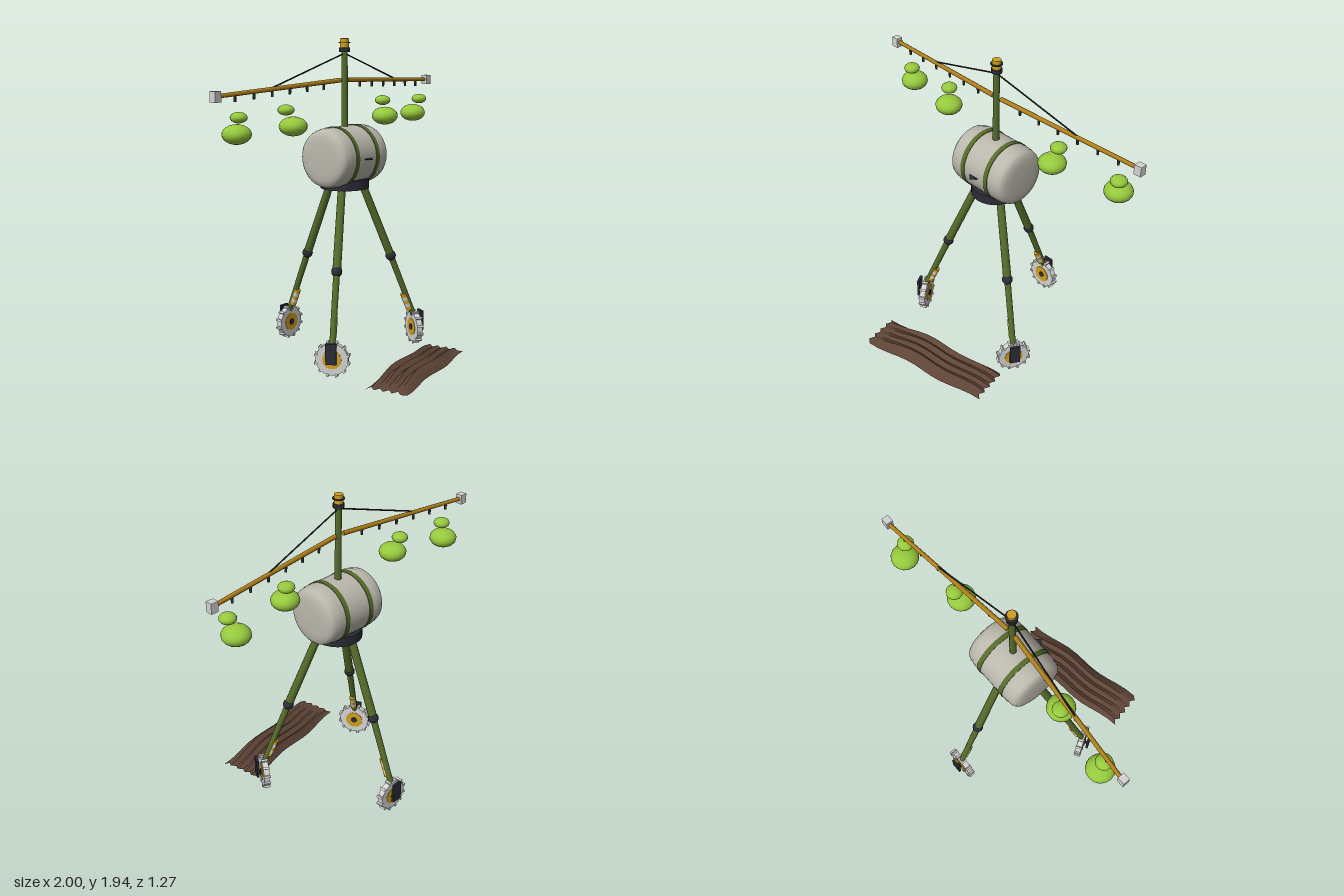
import * as THREE from 'three';

const mat = (name, color, side = THREE.FrontSide, flatShading = false) => {
  const m = new THREE.MeshStandardMaterial({ color, side, flatShading });
  m.name = name;
  return m;
};

export function createModel() {
  const olive = mat('olive', 0x556b2b);
  const tankGrey = mat('tank grey', 0xbab7ac);
  const dark = mat('dark slate', 0x2b2c36);
  const yellow = mat('ochre yellow', 0xd0a01e);
  const boomGold = mat('boom gold', 0xb0801a);
  const pale = mat('pale grey', 0xd3d3d3);
  const black = mat('cable black', 0x1c1d20, THREE.DoubleSide);
  const lime = mat('leaf green', 0x96c93d);
  const soil = mat('soil brown', 0x5e4436, THREE.DoubleSide, true);

  const model = new THREE.Group();
  const V = (x, y, z) => new THREE.Vector3(x, y, z);
  const AXIS_Z = -0.12;

  const add = (parent, name, geo, material, x = 0, y = 0, z = 0) => {
    const m = new THREE.Mesh(geo, material);
    m.name = name;
    m.position.set(x, y, z);
    parent.add(m);
    return m;
  };
  // Cylinder running from point a to point b
  const rod = (parent, name, a, b, r0, r1, material, sides = 12) => {
    const d = b.clone().sub(a);
    const m = add(parent, name, new THREE.CylinderGeometry(r1, r0, d.length(), sides), material);
    m.position.copy(a).lerp(b, 0.5);
    m.quaternion.setFromUnitVectors(V(0, 1, 0), d.normalize());
    return m;
  };

  // Tank lying along x, with domed ends, rims and straps
  const half = [[0, 0.225], [0.09, 0.223], [0.13, 0.219], [0.155, 0.21], [0.168, 0.198], [0.175, 0.18], [0.177, 0.155]];
  const profile = [...half.map(([r, y]) => [r, -y]), [0.18, -0.15], [0.18, 0.15], ...half.slice().reverse()];
  const tank = add(model, 'tank',
    new THREE.LatheGeometry(profile.map(p => new THREE.Vector2(...p)), 32), tankGrey, 0, 1.235, AXIS_Z);
  tank.rotation.z = Math.PI / 2;
  for (const s of [-1, 1]) {
    const strap = add(model, 'tankStrap', new THREE.CylinderGeometry(0.184, 0.184, 0.03, 32), olive, s * 0.095, 1.235, AXIS_Z);
    strap.rotation.z = Math.PI / 2;
  }

  // Flat pointer on the tank front
  const tri = new THREE.Shape([[-0.042, 0], [0.042, 0], [0, 0.045]].map(p => new THREE.Vector2(...p)));
  const pointer = add(model, 'frontPointer',
    new THREE.ExtrudeGeometry(tri, { depth: 0.006, bevelEnabled: false }), dark, 0, 1.233, 0.05);
  pointer.rotation.x = Math.PI / 2;

  // Hub under the tank
  add(model, 'hub', new THREE.CylinderGeometry(0.148, 0.148, 0.06, 24), dark, 0, 1.07, AXIS_Z);

  // One leg, built outwards along its own +z
  const makeLeg = angle => {
    const leg = new THREE.Group();
    leg.name = 'leg';
    leg.position.z = AXIS_Z;
    leg.rotation.y = angle;
    const knee = V(0, 0.59, 0.306), foot = V(0, 0.17, 0.474);
    rod(leg, 'upperLeg', V(0, 1.06, 0.112), knee, 0.024, 0.026, olive);
    rod(leg, 'lowerLeg', foot, knee, 0.018, 0.02, olive);
    add(leg, 'knee', new THREE.SphereGeometry(0.033, 14, 10), dark, 0, 0.59, 0.306);

    // Banded damper on the inner side of the shin
    const d0 = V(0, 0.228, 0.437), d1 = V(0, 0.335, 0.392);
    for (let i = 0; i < 5; i++) {
      rod(leg, 'damperBand', d0.clone().lerp(d1, i / 5), d0.clone().lerp(d1, (i + 1) / 5),
        0.02, 0.02, i % 2 ? pale : yellow);
    }

    // Wheel with lugs, rim discs and axle
    const wheel = new THREE.Group();
    wheel.name = 'wheel';
    wheel.position.set(0, 0.11, 0.47);
    leg.add(wheel);
    const disc = (name, r, w, m, z = 0, n = 24) => {
      add(wheel, name, new THREE.CylinderGeometry(r, r, w, n), m, 0, 0, z).rotation.x = Math.PI / 2;
    };
    disc('tyre', 0.096, 0.036, pale);
    disc('rim', 0.056, 0.042, yellow);
    disc('wheelHub', 0.02, 0.05, dark, 0, 12);
    disc('axle', 0.01, 0.05, dark, 0.022, 8);
    for (let i = 0; i < 12; i++) {
      const a = (i + 0.5) / 12 * Math.PI * 2;
      const lug = add(wheel, 'lug', new THREE.BoxGeometry(0.014, 0.018, 0.042), pale,
        Math.sin(a) * 0.098, Math.cos(a) * 0.098, 0);
      lug.rotation.z = -a;
    }
    add(leg, 'wheelMotor', new THREE.BoxGeometry(0.064, 0.125, 0.015), dark, 0, 0.152, 0.515);
    model.add(leg);
  };
  [Math.PI / 3, -Math.PI / 3, Math.PI].forEach(makeLeg);

  // Mast and beacon
  rod(model, 'mast', V(0, 1.38, AXIS_Z), V(0, 1.86, AXIS_Z), 0.021, 0.019, olive);
  add(model, 'mastCollar', new THREE.CylinderGeometry(0.032, 0.032, 0.026, 16), dark, 0, 1.868, AXIS_Z);
  add(model, 'beacon', new THREE.CylinderGeometry(0.026, 0.026, 0.055, 16), yellow, 0, 1.908, AXIS_Z);
  add(model, 'beaconRing', new THREE.CylinderGeometry(0.036, 0.036, 0.005, 16), dark, 0, 1.91, AXIS_Z);

  // Spray booms, nozzles, stays and end boxes
  for (const s of [-1, 1]) {
    const at = x => {
      const t = (x - 0.03) / 0.945;
      return V(s * x, 1.69 - 0.045 * t, -0.127 - 0.083 * t);
    };
    rod(model, 'boom', at(0.03), at(0.975), 0.014, 0.012, boomGold, 8);
    rod(model, 'stay', V(0, 1.848, AXIS_Z), at(0.6), 0.0045, 0.0045, black, 6);
    add(model, 'boomEndBox', new THREE.BoxGeometry(0.046, 0.06, 0.042), pale, s * 0.976, 1.644, -0.207);
    for (let i = 0; i < 6; i++) {
      const p = at(0.17 + 0.134 * i);
      rod(model, 'nozzle', p.clone().setY(p.y - 0.043), p, 0.007, 0.009, dark, 8);
    }
  }

  // Round foliage clumps under the booms: lower ball, upper ball
  const clumps = [
    [-0.823, 1.43, -0.208, -0.823, 1.523, -0.19],
    [-0.433, 1.446, -0.145, -0.46, 1.54, -0.175],
    [0.427, 1.444, -0.14, 0.443, 1.54, -0.17],
    [0.843, 1.43, -0.22, 0.865, 1.523, -0.185],
  ];
  for (const [x, y, z, u, v, w] of clumps) {
    add(model, 'lowerFoliage', new THREE.SphereGeometry(1, 16, 12), lime, x, y, z).scale.set(0.083, 0.056, 0.083);
    add(model, 'upperFoliage', new THREE.SphereGeometry(1, 14, 10), lime, u, v, w).scale.set(0.049, 0.031, 0.049);
  }

  // Furrowed soil bed: ridges along its length, low dome overall, ragged ends
  const rows = 9;
  const bedGeo = new THREE.PlaneGeometry(0.86, 0.25, 12, rows).rotateX(-Math.PI / 2);
  const p = bedGeo.attributes.position;
  for (let i = 0; i < p.count; i++) {
    const u = p.getX(i) / 0.43, v = p.getZ(i) / 0.125;
    const row = Math.round((v + 1) * rows / 2);
    const ridge = row % 2 ? 1 : 0.55;
    const edge = row === 0 || row === rows ? 0 : 1;
    const y = 0.052 * ridge * edge * (0.25 + 0.75 * (1 - u * u));
    p.setXYZ(i, p.getX(i) + (row % 2 ? 0.012 : -0.012), y, p.getZ(i) + 0.011 * Math.sin(u * 5.5));
  }
  bedGeo.computeVertexNormals();
  add(model, 'soilBed', bedGeo, soil, 0.003, 0, 0.423).rotation.y = 0.19;

  return model;
}
